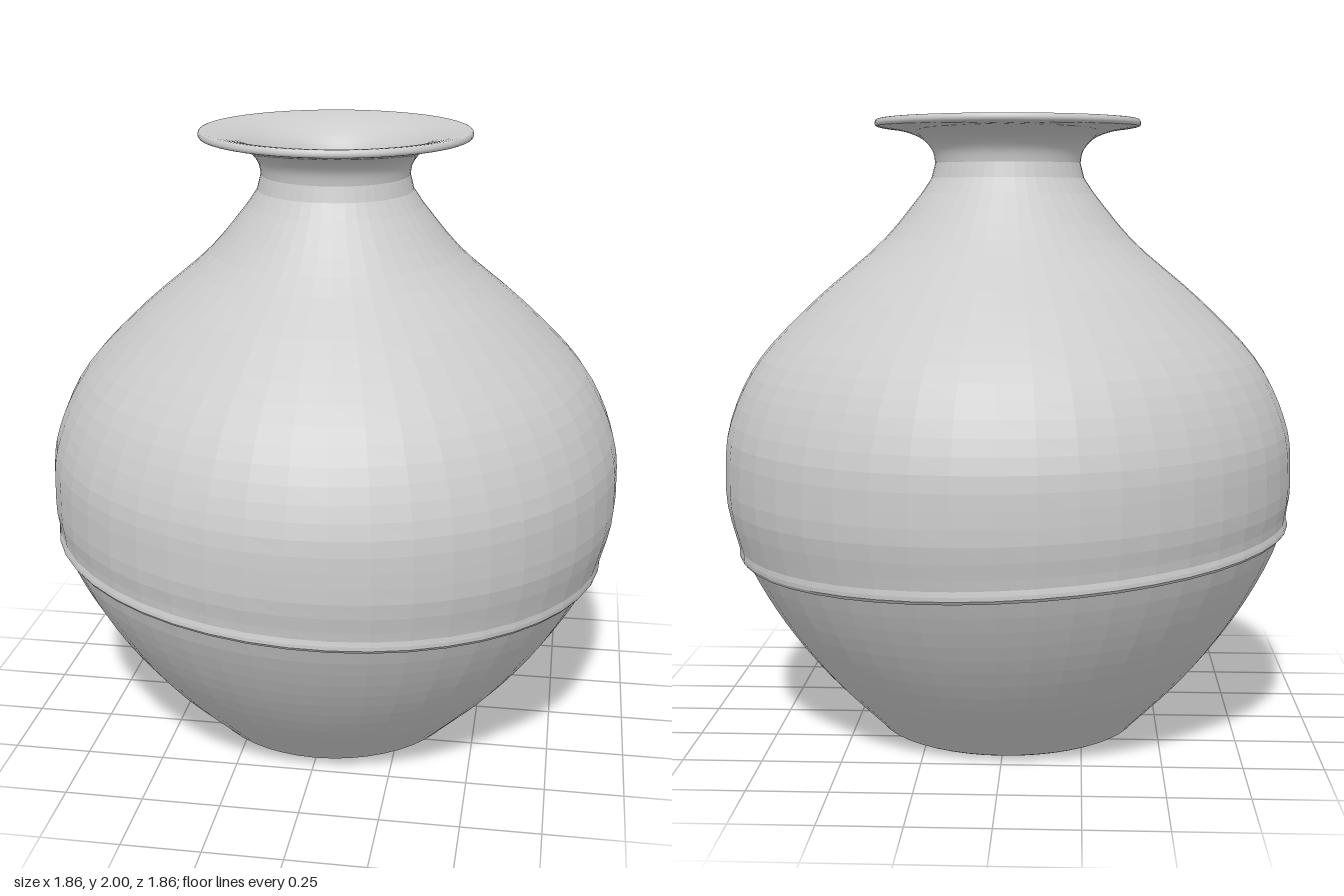
import * as THREE from 'three';

const SIDES = 48;
const SEAM = 0.63;      // mean height of the glaze edge
const SEAM_TOP = 1.1;   // above this the tilt of the edge has faded out
const v = (r, y) => new THREE.Vector2(r, y);

// Silhouette of the clay wall, from foot to neck
const wall = new THREE.SplineCurve([
  v(0.445, 0.02), v(0.62, 0.2), v(0.77, 0.4), v(0.88, 0.6), v(0.923, 0.74), v(0.932, 0.85),
  v(0.915, 1.02), v(0.82, 1.22), v(0.63, 1.42), v(0.42, 1.6), v(0.3, 1.74), v(0.25, 1.81),
  v(0.237, 1.86),
]).getPoints(240);

// Wall radius at a height
function radiusAt(y) {
  const i = Math.max(1, wall.findIndex((p) => p.y >= y));
  const a = wall[i - 1], b = wall[i];
  return THREE.MathUtils.mapLinear(y, a.y, b.y, a.x, b.x);
}

// Glaze edge rises towards -x and dips towards +x
const tilt = (x, z) => {
  const r = Math.hypot(x, z);
  return (-0.05 * x + 0.015 * z) / r;
};

// Rows are [height, offset from the wall]; heights near the seam follow the tilted edge
function wallBand(rows) {
  const geo = new THREE.LatheGeometry(rows.map(([y]) => v(1, y)), SIDES);
  const pos = geo.attributes.position;
  for (let i = 0; i < pos.count; i++) {
    const x = pos.getX(i), z = pos.getZ(i);
    const [y0, offset] = rows[i % rows.length];
    const weight = y0 <= SEAM
      ? (y0 - 0.02) / (SEAM - 0.02)
      : Math.max(0, (SEAM_TOP - y0) / (SEAM_TOP - SEAM));
    const y = y0 + tilt(x, z) * weight;
    const r = radiusAt(y) + offset;
    pos.setXYZ(i, x * r, y, z * r);
  }
  geo.computeVertexNormals();
  return geo;
}

function evenRows(from, to, count) {
  return Array.from({ length: count + 1 }, (_, i) => [from + (to - from) * i / count, 0]);
}

export function createModel() {
  const group = new THREE.Group();
  const material = new THREE.MeshStandardMaterial({ color: 0xcccccc, flatShading: true });
  const smooth = new THREE.MeshStandardMaterial({ color: 0xcccccc });
  const add = (name, geo, mat) => {
    const mesh = new THREE.Mesh(geo, mat);
    mesh.name = name;
    group.add(mesh);
  };

  // Flat foot with a small rounded edge
  add('foot', new THREE.LatheGeometry(
    [v(0, 0), v(0.42, 0), v(0.433, 0.006), v(0.445, 0.02)], SIDES), material);

  // Bare lower wall
  add('lowerBody', wallBand(evenRows(0.02, SEAM, 12)), material);

  // Glazed upper wall, starting with a thin raised lip
  add('glazedBody', wallBand([
    [SEAM, 0], [SEAM + 0.002, 0.011], [SEAM + 0.012, 0.015], [SEAM + 0.024, 0.011],
    [SEAM + 0.04, 0.003], ...evenRows(SEAM + 0.07, 1.86, 24),
  ]), material);

  // Flared neck, thin rounded rim and throat
  const flare = new THREE.SplineCurve([
    v(0.237, 1.86), v(0.246, 1.9), v(0.28, 1.938), v(0.34, 1.962), v(0.415, 1.974),
    v(0.43, 1.98), v(0.431, 1.992), v(0.42, 2), v(0.37, 1.992), v(0.3, 1.97),
    v(0.24, 1.925), v(0.215, 1.86),
  ]);
  add('neckAndRim', new THREE.LatheGeometry(flare.getPoints(40), SIDES), smooth);

  // Hollow inside, down to a flat floor
  const inner = [];
  for (let i = 0; i <= 28; i++) {
    const y = 1.86 - (1.86 - 0.05) * i / 28;
    inner.push(v(radiusAt(y) - 0.022, y));
  }
  inner.push(v(0, 0.05));
  add('innerWall', new THREE.LatheGeometry(inner, SIDES), material);

  return group;
}
